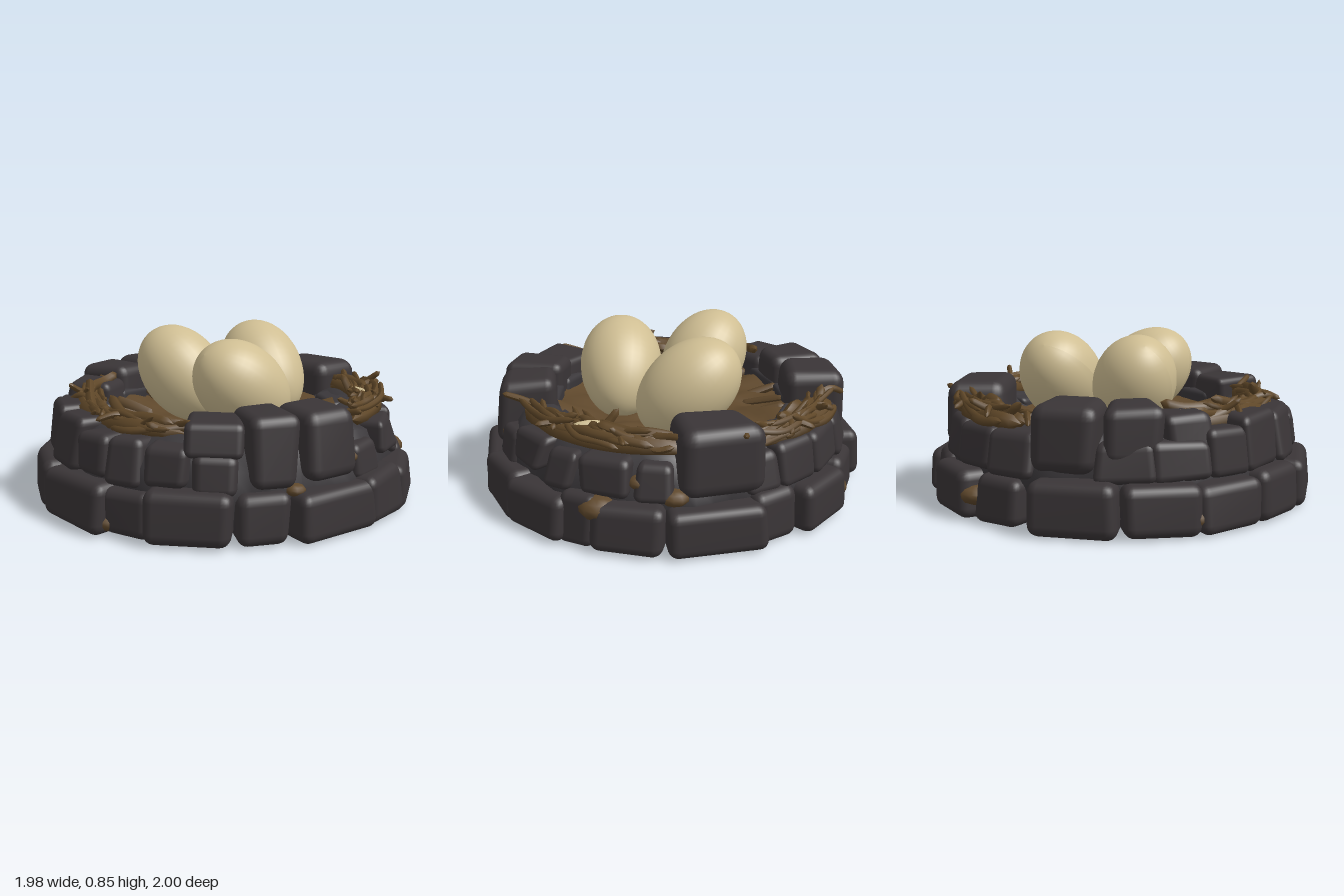
import * as THREE from 'three';
import { mergeVertices } from 'three/addons/utils/BufferGeometryUtils.js';
import { RoundedBoxGeometry } from 'three/addons/geometries/RoundedBoxGeometry.js';

const flat = (name, color) => Object.assign(new THREE.MeshStandardMaterial({ color }), { name });

let seed = 11;
const rand = (a = 0, b = 1) => {
  seed = (seed * 16807) % 2147483647;
  return a + (b - a) * (seed / 2147483647);
};
const polar = (deg, r, y) => {
  const a = THREE.MathUtils.degToRad(deg);
  return new THREE.Vector3(Math.cos(a) * r, y, Math.sin(a) * r);
};

// Worn block whose eight corners are nudged; +z points outward from the ring
function stoneGeometry(w, h, d, lean, jitter) {
  let g = new RoundedBoxGeometry(w, h, d, 3, Math.min(w, h, d) * 0.22);
  g.deleteAttribute('uv');
  g.deleteAttribute('normal');
  g = mergeVertices(g, 1e-4);
  const corners = Array.from({ length: 8 }, () => [0, 1, 2].map(() => rand(-jitter, jitter)));
  const p = g.attributes.position;
  for (let i = 0; i < p.count; i++) {
    const v = [p.getX(i), p.getY(i), p.getZ(i)];
    const t = [v[0] / w + 0.5, v[1] / h + 0.5, v[2] / d + 0.5];
    const out = [v[0] * (0.9 + 0.12 * t[2]), v[1], v[2] - lean * t[1] * t[2]];
    corners.forEach((c, k) => {
      const wt = [0, 1, 2].reduce((m, n) => m * ((k >> n) & 1 ? t[n] : 1 - t[n]), 1);
      c.forEach((o, n) => { out[n] += o * wt * (n === 1 ? 0.5 : 1); });
    });
    p.setXYZ(i, ...out);
  }
  g.computeVertexNormals();
  return g;
}

function addStone(parent, mat, name, deg, w, y0, y1, rIn, rOut, lean, jitter) {
  const m = new THREE.Mesh(stoneGeometry(w, y1 - y0, rOut - rIn, lean, jitter), mat);
  m.name = name;
  m.position.copy(polar(deg, (rIn + rOut) / 2, (y0 + y1) / 2));
  m.rotation.y = Math.PI / 2 - THREE.MathUtils.degToRad(deg);
  parent.add(m);
}

// Tube that narrows a little to both ends
function addTwig(parent, mat, name, points, radius) {
  const n = 14, sides = 6;
  const curve = new THREE.CatmullRomCurve3(points);
  const g = new THREE.TubeGeometry(curve, n, radius, sides, false);
  const p = g.attributes.position, v = new THREE.Vector3();
  for (let i = 0; i <= n; i++) {
    const c = curve.getPointAt(i / n);
    const k = i === 0 || i === n ? 0.05 : 0.75 + 0.25 * Math.sin((Math.PI * i) / n);
    for (let j = 0; j <= sides; j++) {
      const q = i * (sides + 1) + j;
      v.fromBufferAttribute(p, q).sub(c).multiplyScalar(k).add(c);
      p.setXYZ(q, v.x, v.y, v.z);
    }
  }
  g.computeVertexNormals();
  const m = new THREE.Mesh(g, mat);
  m.name = name;
  parent.add(m);
}

export function createModel() {
  const model = new THREE.Group();
  model.name = 'stoneNest';
  const stone = flat('dark stone', 0x3a3537);
  const mortar = flat('packed rubble', 0x3a373a);
  const soil = flat('soil', 0x5f482c);
  const wood = flat('twig brown', 0x5f4728);
  const shell = flat('egg shell', 0xcfbe93);
  const group = (name) => {
    const g = new THREE.Group();
    g.name = name;
    model.add(g);
    return g;
  };

  // Solid wall behind the stones, closed underneath
  const profile = [[0, 0.015], [0.7, 0.015], [0.86, 0.08], [0.88, 0.22], [0.85, 0.33],
    [0.8, 0.43], [0.72, 0.465], [0.64, 0.45], [0.58, 0.4], [0.52, 0.34]];
  const wallGeo = new THREE.LatheGeometry(profile.map(([x, y]) => new THREE.Vector2(x, y)), 64);
  const wp = wallGeo.attributes.position;
  for (let i = 0; i < wp.count; i++) {
    const x = wp.getX(i), y = wp.getY(i), z = wp.getZ(i);
    const a = Math.atan2(z, x), k = 1 + 0.018 * Math.sin(a * 9 + y * 14) + 0.012 * Math.sin(a * 17 - y * 9);
    wp.setXYZ(i, x * k, y > 0.3 ? y + 0.015 * Math.sin(a * 11 + 1) : y, z * k);
  }
  wallGeo.computeVertexNormals();
  const wall = new THREE.Mesh(wallGeo, mortar);
  wall.name = 'rubbleWall';
  model.add(wall);

  // Bottom course: [angle, width]
  const base = group('baseStones');
  [[80, 0.45], [104, 0.26], [126, 0.42], [145, 0.26], [165, 0.48], [190, 0.33], [211, 0.34],
    [232, 0.38], [257, 0.42], [283, 0.27], [304, 0.36], [323, 0.25], [343, 0.47], [9, 0.35],
    [25, 0.2], [40, 0.38], [59, 0.36]].forEach(([a, w], i) =>
    addStone(base, stone, 'baseStone', a, w, 0.004, 0.235 + 0.012 * (i % 3), 0.62, w > 0.3 ? 0.98 : 0.95, 0.015, 0.015));

  // Middle course: [angle, width, bottom, top]
  const middle = group('middleStones');
  [[17, 0.25, 0.25, 0.44], [33, 0.18, 0.24, 0.42], [47, 0.23, 0.3, 0.46], [63, 0.2, 0.22, 0.4],
    [118, 0.2, 0.22, 0.42], [133, 0.23, 0.26, 0.45], [147, 0.18, 0.24, 0.46], [160, 0.2, 0.26, 0.46],
    [176, 0.26, 0.24, 0.5], [193, 0.26, 0.24, 0.51], [208, 0.24, 0.24, 0.47], [225, 0.29, 0.24, 0.43],
    [242, 0.28, 0.24, 0.43], [280, 0.27, 0.24, 0.45], [297, 0.26, 0.24, 0.46], [313, 0.26, 0.24, 0.46],
    [327, 0.18, 0.24, 0.43], [1, 0.18, 0.24, 0.43]].forEach(([a, w, y0, y1]) =>
    addStone(middle, stone, 'middleStone', a, w, y0, y1, 0.71, 0.91, 0.04, 0.02));

  // Tall rim stones: [angle, width, bottom, top, outer radius]
  const rim = group('rimStones');
  [[80, 0.29, 0.26, 0.59, 0.915], [100, 0.24, 0.26, 0.59, 0.915], [118, 0.26, 0.4, 0.565, 0.88],
    [340, 0.4, 0.26, 0.595, 0.915], [261, 0.32, 0.27, 0.595, 0.915], [239, 0.26, 0.32, 0.595, 0.89],
    [221, 0.25, 0.34, 0.54, 0.87]].forEach(([a, w, y0, y1, r]) =>
    addStone(rim, stone, 'rimStone', a, w, y0, y1, 0.58, r, 0.035, 0.022));

  // Sloping slabs lining the inside
  const lining = group('innerSlabs');
  for (let a = 10; a < 360; a += 25)
    addStone(lining, mortar, 'innerSlab', a, 0.25, 0.33, 0.455 + rand(-0.02, 0.02), 0.57, 0.72, 0, 0.03);

  // Uneven soil floor
  const floorGeo = new THREE.RingGeometry(0.001, 0.62, 64, 12);
  floorGeo.rotateX(-Math.PI / 2);
  const fp = floorGeo.attributes.position;
  for (let i = 0; i < fp.count; i++) {
    const x = fp.getX(i), z = fp.getZ(i), r = Math.hypot(x, z), a = Math.atan2(z, x);
    fp.setY(i, 0.37 + 0.16 * r * r + r * (0.025 * Math.sin(a * 7 + r * 9) + 0.022 * Math.sin(a * 13 - r * 14))
      + 0.008 * Math.sin(x * 31) * Math.sin(z * 27));
  }
  floorGeo.computeVertexNormals();
  const floor = new THREE.Mesh(floorGeo, soil);
  floor.name = 'soilFloor';
  floor.position.set(-0.02, 0, -0.02);
  model.add(floor);

  // A few roots running up to the back of the floor
  const roots = group('floorRoots');
  for (let i = 0; i < 9; i++) {
    const a = 165 + i * 19 + rand(-8, 8), s = rand(-16, 16);
    const pts = [[0.38, 0.37], [0.48, 0.4], [0.6, 0.44]].map(([r, y], k) => polar(a + s * k * 0.5, r, y));
    addTwig(roots, soil, 'root', pts, rand(0.02, 0.035));
  }

  // Soil packed into the gaps of the outer stones: [angle, radius, height, size]
  const lumps = group('soilLumps');
  [[32, 0.885, 0.06, 0.095], [50, 0.9, 0.055, 0.09], [18.5, 0.88, 0.2, 0.1], [93, 0.87, 0.24, 0.05],
    [153, 0.89, 0.06, 0.085], [222, 0.89, 0.08, 0.09], [294, 0.9, 0.12, 0.085], [355, 0.86, 0.27, 0.07],
    [6, 0.84, 0.33, 0.055], [70, 0.84, 0.34, 0.05], [333, 0.88, 0.06, 0.08]].forEach(([a, r, y, s]) => {
    const m = new THREE.Mesh(new THREE.SphereGeometry(s, 10, 7), soil);
    m.name = 'soilLump';
    m.scale.set(1, 0.6, 1);
    m.position.copy(polar(a, r, y));
    lumps.add(m);
  });

  // Woven twigs: [start angle, end angle, radius, spread, count]
  const twigs = group('twigs');
  [[126, 234, 0.7, 0.07, 28], [276, 330, 0.785, 0.08, 20], [-14, 66, 0.755, 0.095, 32]].forEach(([a0, a1, r, spread, count]) => {
    // thick bundle carrying the smaller twigs
    [-0.035, 0.035].forEach((off) => {
      const pts = [0, 0.2, 0.4, 0.6, 0.8, 1].map((t, k) =>
        polar(a0 + 3 + (a1 - a0 - 6) * t, r + off * (k % 2 ? 1 : 0.5), 0.475 + 0.01 * (k % 2)));
      addTwig(twigs, wood, 'twigBundle', pts, 0.046);
    });
    for (let i = 0; i < count; i++) {
      const len = rand(16, 42), a = rand(a0, a1 - len);
      const cross = rand(-1, 1) * spread, mid = rand(-0.7, 0.7) * spread;
      const y = rand(0.475, 0.535), tip = rand(-0.03, 0.075);
      const pts = [0, 0.33, 0.67, 1].map((t) => polar(a + len * t,
        r + mid + cross * (t - 0.5) * 1.6 + rand(-0.02, 0.02),
        y + rand(-0.018, 0.018) + (t === i % 2 ? tip : 0)));
      addTwig(twigs, wood, 'twig', pts, i % 3 === 0 ? rand(0.022, 0.03) : rand(0.014, 0.02));
    }
    // loose ends poking outward
    for (let i = 0; i < 6; i++) {
      const a = a0 + ((a1 - a0) * (i + 0.5)) / 6, s = i % 2 ? 9 : -9;
      const pts = [[0, -0.04, 0.5], [0.6, 0.04, 0.53], [1, rand(0.09, 0.14), rand(0.49, 0.6)]]
        .map(([t, dr, y]) => polar(a + s * t, r + dr, y));
      addTwig(twigs, wood, 'looseTwig', pts, 0.017);
    }
  });

  // Eggs: [centre, long axis, half length, half width]
  const eggs = group('eggs');
  [[[-0.015, 0.595, 0.262], [-0.75, 0.63, 0.06], 0.287, 0.212],
    [[0.29, 0.595, -0.105], [-0.06, 0.66, -0.75], 0.295, 0.212],
    [[-0.155, 0.597, -0.16], [-0.45, 0.75, -0.49], 0.283, 0.21]].forEach(([c, d, len, wid]) => {
    const g = new THREE.SphereGeometry(1, 32, 24);
    const p = g.attributes.position;
    for (let i = 0; i < p.count; i++) {
      const y = p.getY(i), k = wid * (1 + 0.04 * y);
      p.setXYZ(i, p.getX(i) * k, y * len, p.getZ(i) * k);
    }
    g.computeVertexNormals();
    const m = new THREE.Mesh(g, shell);
    m.name = 'egg';
    m.position.set(...c);
    m.quaternion.setFromUnitVectors(new THREE.Vector3(0, 1, 0), new THREE.Vector3(...d).normalize());
    eggs.add(m);
  });

  // Loose bit of shell among the twigs
  const shard = new THREE.Mesh(new THREE.SphereGeometry(0.1, 10, 8), shell);
  shard.name = 'shellShard';
  shard.scale.set(0.28, 0.3, 1);
  shard.position.set(0.63, 0.515, 0.33);
  shard.rotation.y = 0.15;
  model.add(shard);

  return model;
}
